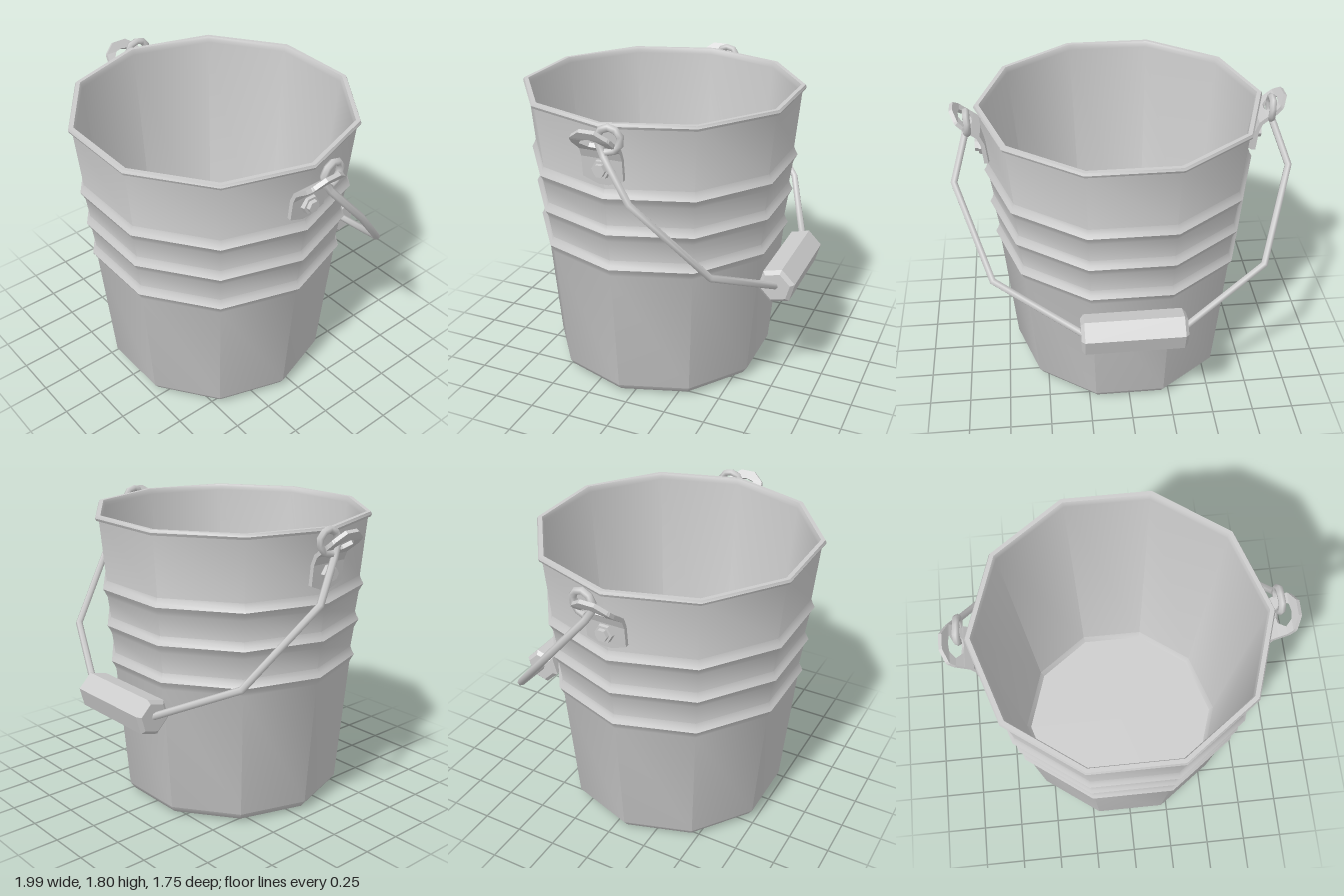
import * as THREE from 'three';
import { toCreasedNormals } from 'three/addons/utils/BufferGeometryUtils.js';

const CZ = 0.075; // z of the bucket's axis
const smooth = new THREE.MeshStandardMaterial({ color: 0xcccccc });
const flat = new THREE.MeshStandardMaterial({ color: 0xcccccc, flatShading: true });

function add(parent, name, geometry, material) {
  const mesh = new THREE.Mesh(geometry, material);
  mesh.name = name;
  parent.add(mesh);
  return mesh;
}

// Path with sharp bends: one tube ring per point, facing along the bisector
class BentPath extends THREE.Curve {
  constructor(points) {
    super();
    this.points = points;
  }
  index(u) {
    return Math.round(u * (this.points.length - 1));
  }
  getPointAt(u, target = new THREE.Vector3()) {
    return target.copy(this.points[this.index(u)]);
  }
  getTangentAt(u, target = new THREE.Vector3()) {
    const i = this.index(u), p = this.points;
    target.set(0, 0, 0);
    if (i > 0) target.add(p[i].clone().sub(p[i - 1]).normalize());
    if (i < p.length - 1) target.add(p[i + 1].clone().sub(p[i]).normalize());
    return target.normalize();
  }
}

// Ten-sided shell: underside, ribbed wall, rolled rim, inside wall, floor
function bucketGeometry() {
  const wall = (y) => 0.685 + (y - 0.06) * 0.08;
  const profile = [[0, 0], [0.615, 0], [0.655, 0.018], [0.685, 0.06]];
  for (const y of [0.89, 1.115, 1.34]) {
    profile.push([wall(y) - 0.001, y - 0.05], [wall(y) + 0.012, y - 0.022], [wall(y) + 0.025, y],
      [wall(y) + 0.012, y + 0.022], [wall(y) + 0.001, y + 0.05]);
  }
  profile.push([0.82, 1.745], [0.835, 1.745], [0.842, 1.76], [0.835, 1.775], [0.81, 1.775],
    [0.803, 1.76], [0.8, 1.74], [0.66, 0.08], [0.635, 0.04], [0, 0.04]);
  const points = profile.map(([r, y]) => new THREE.Vector2(r, y));
  return toCreasedNormals(new THREE.LatheGeometry(points, 10, Math.PI / 2), 0.7);
}

// Half of a bent lug plate; rows are x, y, outer half-width, hole half-width
const LUG_ROWS = [
  [0.785, 1.42, 0.03, 0], [0.788, 1.455, 0.12, 0], [0.8, 1.575, 0.12, 0], [0.822, 1.628, 0.12, 0],
  [0.862, 1.66, 0.12, 0], [0.868, 1.664, 0.12, 0.04], [0.905, 1.692, 0.12, 0.075],
  [0.935, 1.72, 0.113, 0.045], [0.942, 1.73, 0.105, 0], [0.968, 1.772, 0.045, 0],
];
function lugHalf(side) {
  const t = 0.012, pos = [], idx = [];
  LUG_ROWS.forEach(([x, y, outer, inner], i) => {
    const a = LUG_ROWS[Math.max(i - 1, 0)];
    const b = LUG_ROWS[Math.min(i + 1, LUG_ROWS.length - 1)];
    const n = new THREE.Vector2(b[1] - a[1], a[0] - b[0]).normalize().multiplyScalar(t);
    for (const [s, w] of [[1, inner], [1, outer], [-1, outer], [-1, inner]]) {
      pos.push(x + n.x * s, y + n.y * s, w * side);
    }
  });
  const quad = (a, b, c, d) => idx.push(...(side > 0 ? [a, c, b, a, d, c] : [a, b, c, a, c, d]));
  const last = LUG_ROWS.length - 1;
  for (let i = 0; i < last; i++) {
    for (let k = 0; k < 4; k++) {
      const m = (k + 1) % 4;
      quad(i * 4 + k, i * 4 + m, i * 4 + 4 + m, i * 4 + 4 + k);
    }
  }
  quad(3, 2, 1, 0);
  quad(last * 4, last * 4 + 1, last * 4 + 2, last * 4 + 3);
  const geometry = new THREE.BufferGeometry();
  geometry.setAttribute('position', new THREE.Float32BufferAttribute(pos, 3));
  geometry.setIndex(idx);
  geometry.computeVertexNormals();
  return geometry;
}

function createLug(name) {
  const lug = new THREE.Group();
  lug.name = name;
  const lugMaterial = flat.clone();
  lugMaterial.side = THREE.DoubleSide;
  for (const side of [1, -1]) add(lug, 'lugPlate', lugHalf(side), lugMaterial);
  // Hexagonal rivet on its washer
  for (const [part, r, x, length] of [['washer', 0.058, 0.815, 0.03], ['rivet', 0.04, 0.825, 0.055]]) {
    const mesh = add(lug, part, new THREE.CylinderGeometry(r * 0.92, r, length, 6), flat);
    mesh.rotation.z = -Math.PI / 2;
    mesh.rotation.x = 0;
    mesh.position.set(x, 1.515, 0);
  }
  return lug;
}

export function createModel() {
  const model = new THREE.Group();
  model.name = 'bucket';

  add(model, 'bucketBody', bucketGeometry(), smooth).position.z = CZ;

  // Lugs on both sides
  const left = createLug('leftLug');
  const right = createLug('rightLug');
  right.rotation.y = Math.PI;
  for (const lug of [left, right]) {
    lug.position.z = CZ;
    model.add(lug);
  }

  // Wire bail: hooked end, bent arm, then the same mirrored
  const half = [
    [0.89, 1.645, 0.01], [0.88, 1.655, -0.035], [0.875, 1.69, -0.066], [0.875, 1.735, -0.07],
    [0.88, 1.768, -0.045], [0.88, 1.778, -0.005], [0.885, 1.762, 0.035], [0.885, 1.72, 0.058],
    [0.885, 1.675, 0.048], [0.9, 1.62, 0.015], [0.975, 1.41, -0.16], [0.785, 0.975, -0.54], [0.29, 0.725, -0.76],
  ].map((p) => new THREE.Vector3(...p));
  const mirrored = half.map((p) => new THREE.Vector3(-p.x, p.y, p.z)).reverse();
  const bail = [...half, ...mirrored];
  add(model, 'bailHandle', new THREE.TubeGeometry(new BentPath(bail), bail.length - 1, 0.022, 6), smooth);

  // Hexagonal grip with chamfered ends
  const gripProfile = [[0, -0.305], [0.09, -0.305], [0.115, -0.285], [0.115, 0.285], [0.09, 0.305], [0, 0.305]]
    .map(([r, y]) => new THREE.Vector2(r, y));
  const grip = add(model, 'grip', new THREE.LatheGeometry(gripProfile, 6, 0.26), flat);
  grip.rotation.z = -Math.PI / 2;
  grip.position.set(0, 0.722, -0.76);

  return model;
}
